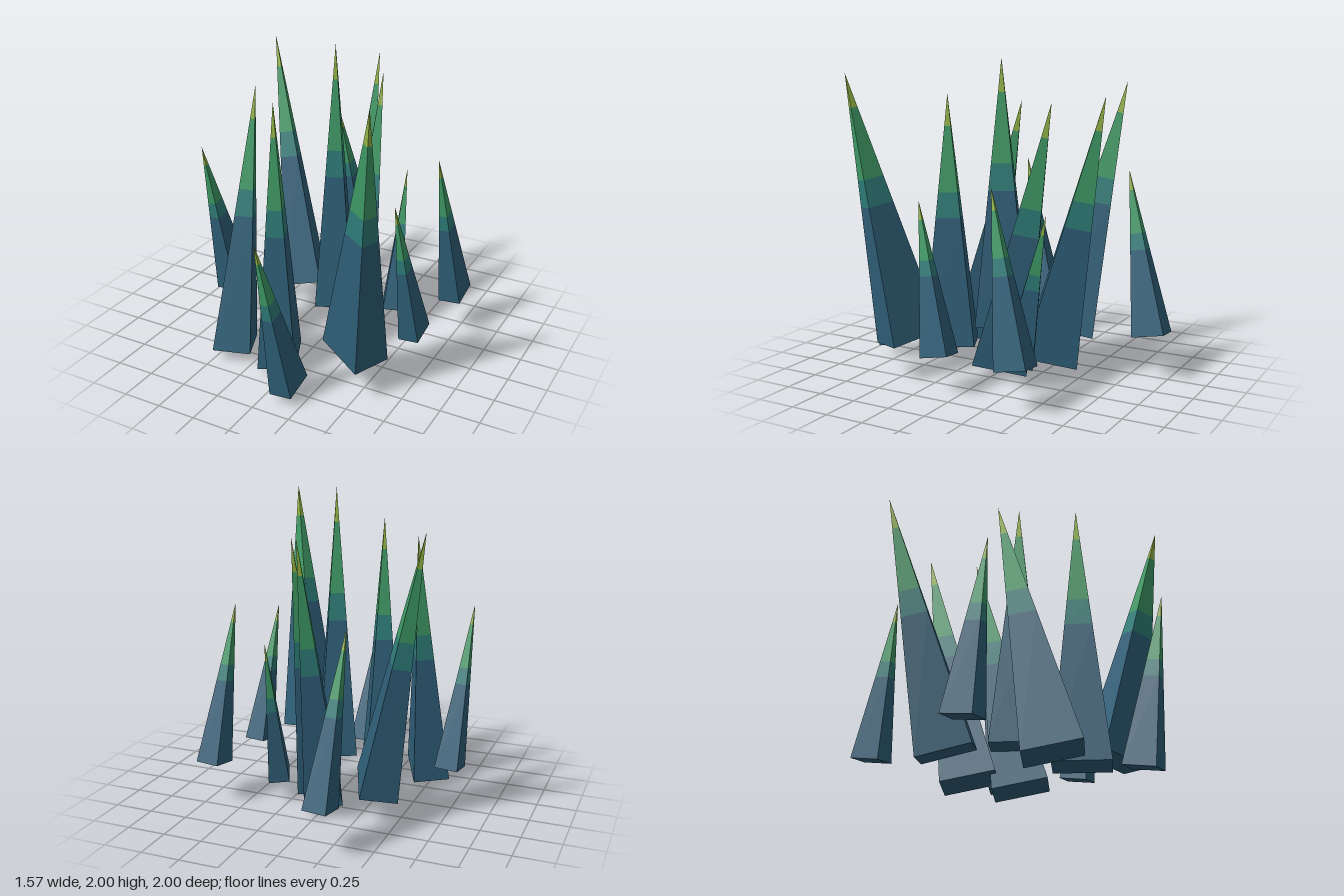
import * as THREE from 'three';
import { mergeGeometries } from 'three/addons/utils/BufferGeometryUtils.js';

// Base rectangle of a spike of length 1
const WIDTH = 0.141, DEPTH = 0.204;

// Colour bands from base to tip, as fractions of the spike length
const BANDS = [
  { name: 'baseBand', colour: 'deepBlue', hex: 0x2f5f78, from: 0, to: 0.515 },
  { name: 'tealBand', colour: 'teal', hex: 0x2f7d79, from: 0.515, to: 0.615 },
  { name: 'greenBand', colour: 'green', hex: 0x3f9a66, from: 0.615, to: 0.875 },
  { name: 'tipBand', colour: 'lime', hex: 0x92b545, from: 0.875, to: 1 },
];

// Horizontal directions of the long side of the base
const TURNED = [0.145, 0.325], SIDEWAYS = [0.3, 0.16], STRAIGHT = [0, 1];

// [base centre, tip, long side direction]
const LARGE = [
  [[0.04, 0.3, 0.02], [0.045, 2, 0.03], TURNED],
  [[-0.34, 0.198, -0.255], [-0.7, 1.84, -0.51], TURNED],
  [[0.01, 0.118, -0.305], [0.01, 1.78, -0.66], TURNED],
  [[0.175, 0.077, -0.035], [0.17, 1.74, -0.38], TURNED],
  [[-0.445, 0.046, 0.5], [-0.45, 1.71, 0.15], TURNED],
  [[-0.1, 0.065, 0.51], [-0.1, 1.76, 0.52], TURNED],
  [[0.425, 0.25, 0.49], [0.64, 1.91, 0.78], SIDEWAYS],
];
const SMALL = [
  [[0.34, 0.16, -0.245], [0.335, 1.09, -0.43], TURNED],
  [[-0.225, 0.287, -0.893], [-0.305, 1.31, -0.69], STRAIGHT],
  [[0.71, 0.265, -0.43], [0.63, 1.28, -0.23], STRAIGHT],
  [[-0.71, 0.245, 0.085], [-0.79, 1.28, 0.28], STRAIGHT],
  [[0.655, 0.243, 0.12], [0.58, 1.16, 0.3], STRAIGHT],
  [[0.13, 0.08, 0.79], [0.05, 1.1, 1], STRAIGHT],
];

// One four-sided slice of the unit spike; the lowest one gets a floor
function bandGeometry({ from, to }) {
  const slice = new THREE.CylinderGeometry((1 - to) * Math.SQRT1_2, (1 - from) * Math.SQRT1_2, to - from, 4, 1, true);
  slice.rotateY(Math.PI / 4).translate(0, (from + to) / 2, 0);
  const pieces = [slice.toNonIndexed()];
  if (from === 0) pieces.push(new THREE.PlaneGeometry(1, 1).rotateX(Math.PI / 2).toNonIndexed());
  const geometry = mergeGeometries(pieces).scale(WIDTH, 1, DEPTH);
  geometry.computeVertexNormals(); // crisp facets
  return geometry;
}

export function createModel() {
  const model = new THREE.Group();
  model.name = 'spikeCluster';

  const bands = BANDS.map((band) => {
    const material = new THREE.MeshStandardMaterial({ color: band.hex });
    material.name = band.colour;
    return { name: band.name, geometry: bandGeometry(band), material };
  });

  // Stretch and lean a unit spike from its base centre to its tip
  function addSpike(name, [base, tip, [dx, dz]]) {
    const foot = new THREE.Vector3(...base);
    const up = new THREE.Vector3(...tip).sub(foot);
    const length = up.length();
    up.normalize();
    const long = new THREE.Vector3(dx, 0, dz).projectOnPlane(up).normalize();
    const short = new THREE.Vector3().crossVectors(up, long);

    const spike = new THREE.Group();
    spike.name = name;
    spike.position.copy(foot);
    spike.quaternion.setFromRotationMatrix(new THREE.Matrix4().makeBasis(short, up, long));
    spike.scale.setScalar(length);
    for (const band of bands) {
      const mesh = new THREE.Mesh(band.geometry, band.material);
      mesh.name = band.name;
      spike.add(mesh);
    }
    model.add(spike);
  }

  LARGE.forEach((spike, i) => addSpike(`largeSpike${i + 1}`, spike));
  SMALL.forEach((spike, i) => addSpike(`smallSpike${i + 1}`, spike));
  return model;
}
